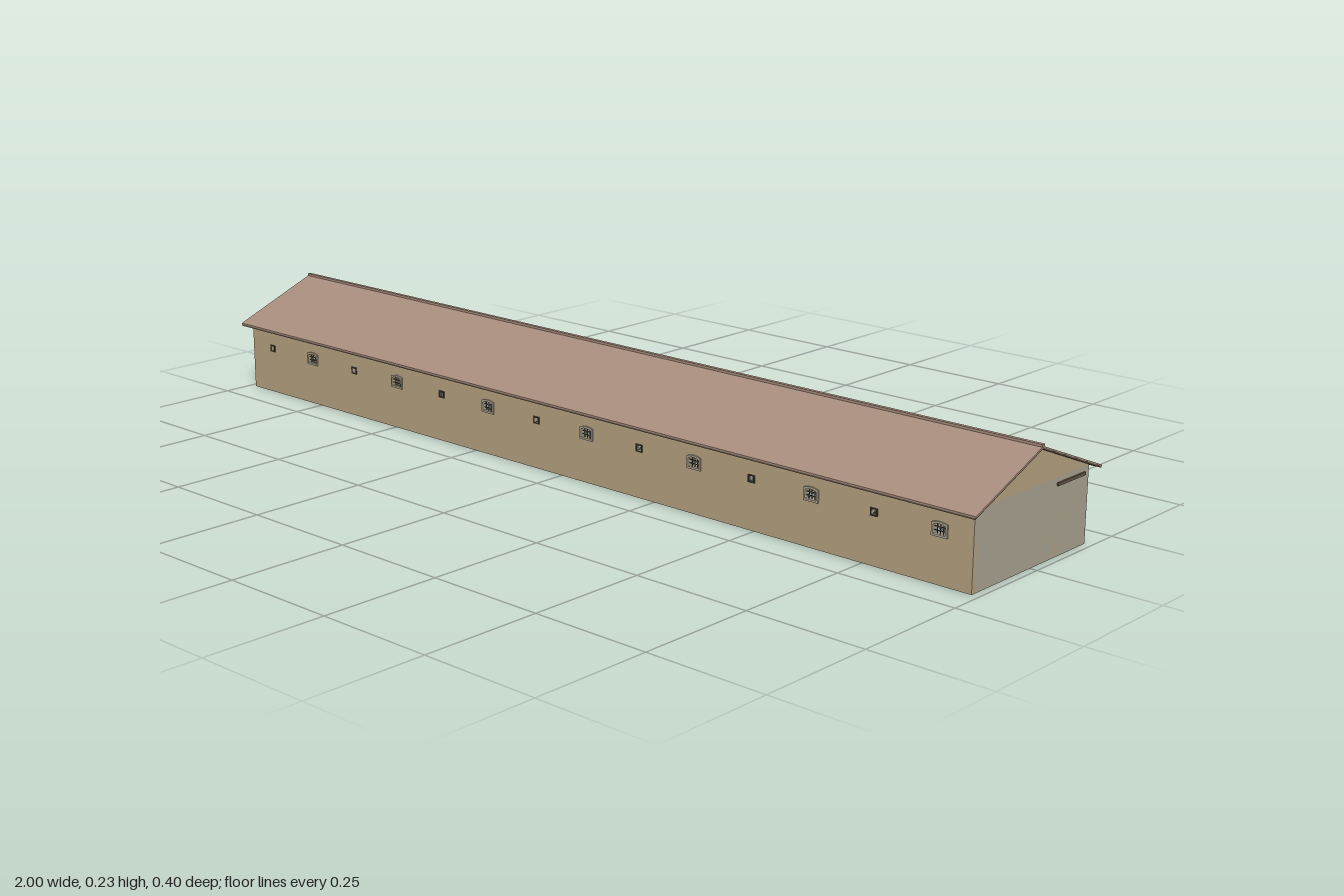
import * as THREE from 'three';

const BAYS = 14, HALF = 0.985, DEPTH = 0.18, BAY = (2 * HALF) / BAYS;
const EAVE = 0.15, RIDGE = 0.23, OVER = 0.2, ROOF = 0.006;
const roofUnder = (z) => RIDGE - (RIDGE - EAVE) * Math.abs(z) / OVER - ROOF;
const bayX = (i) => -HALF + BAY * (i + 0.5);

const mat = (color) => new THREE.MeshStandardMaterial({ color, flatShading: true });
const plaster = mat(0xb8a482), stone = mat(0xaca594), tile = mat(0xa88d7d);
const wood = mat(0x66554a), iron = mat(0x4a4642);

function add(parent, name, geometry, material, x = 0, y = 0, z = 0) {
  const mesh = new THREE.Mesh(geometry, material);
  mesh.name = name;
  mesh.position.set(x, y, z);
  parent.add(mesh);
  return mesh;
}

const box = (w, h, d) => new THREE.BoxGeometry(w, h, d);
const extrude = (shape, depth) =>
  new THREE.ExtrudeGeometry(shape, { depth, bevelEnabled: false, curveSegments: 10 });

// Closed outline from corner pairs
function outline(points, Type = THREE.Shape) {
  return new Type(points.map(([x, y]) => new THREE.Vector2(x, y)));
}

function rect(x, y, w, h, Type = THREE.Path) {
  return outline([[x - w / 2, y], [x + w / 2, y], [x + w / 2, y + h], [x - w / 2, y + h]], Type);
}

// Opening with a shallow curved head
function archedRect(x, y, w, h, rise, Type = THREE.Path) {
  const p = new Type();
  p.moveTo(x - w / 2, y);
  p.lineTo(x + w / 2, y);
  p.lineTo(x + w / 2, y + h - rise);
  p.quadraticCurveTo(x, y + h + rise, x - w / 2, y + h - rise);
  p.closePath();
  return p;
}

// Long front wall with alternating small and large windows
function frontWall(group) {
  const wall = rect(0, 0, 2 * HALF, roofUnder(DEPTH), THREE.Shape);
  const windows = new THREE.Group();
  windows.name = 'frontWindows';
  for (let i = 0; i < BAYS; i++) {
    const x = bayX(i);
    if (i % 2) {
      wall.holes.push(archedRect(x, 0.093, 0.026, 0.02, 0.003));
      const frame = archedRect(x, 0.089, 0.034, 0.028, 0.003, THREE.Shape);
      frame.holes.push(archedRect(x, 0.093, 0.026, 0.02, 0.003));
      add(windows, 'windowFrame', extrude(frame, 0.016), stone, 0, 0, DEPTH - 0.013);
      for (const dx of [-0.0065, 0, 0.0065])
        add(windows, 'windowBar', box(0.0014, 0.022, 0.0014), iron, x + dx, 0.103, DEPTH - 0.002);
      for (const y of [0.099, 0.106])
        add(windows, 'windowBar', box(0.026, 0.0014, 0.0014), iron, x, y, DEPTH - 0.002);
    } else {
      wall.holes.push(rect(x, 0.096, 0.011, 0.011));
      const frame = rect(x, 0.094, 0.016, 0.015, THREE.Shape);
      frame.holes.push(rect(x, 0.096, 0.011, 0.011));
      add(windows, 'smallWindowFrame', extrude(frame, 0.015), iron, 0, 0, DEPTH - 0.013);
    }
  }
  add(group, 'frontWall', extrude(wall, 0.01), plaster, 0, 0, DEPTH - 0.01);
  group.add(windows);
}

// Wall behind the portico: a door and a small window in each bay
function innerWall(group, z) {
  const wall = outline([[-HALF, 0], [-HALF, roofUnder(z - 0.005)],
    [HALF, roofUnder(z - 0.005)], [HALF, 0]].reverse());
  // Doors are notches open at the ground, so build the lower outline bay by bay
  const pts = [[-HALF, 0]];
  for (let i = 0; i < BAYS; i++) {
    const x = bayX(i) + 0.015;
    pts.push([x - 0.018, 0], [x - 0.018, 0.095], [x + 0.018, 0.095], [x + 0.018, 0]);
  }
  pts.push([HALF, 0], [HALF, roofUnder(z - 0.005)], [-HALF, roofUnder(z - 0.005)]);
  wall.setFromPoints(pts.map(([x, y]) => new THREE.Vector2(x, y)));
  for (let i = 0; i < BAYS; i++) {
    const x = bayX(i) - 0.036;
    wall.holes.push(rect(x, 0.07, 0.014, 0.018));
    const frame = rect(x, 0.067, 0.019, 0.024, THREE.Shape);
    frame.holes.push(rect(x, 0.07, 0.014, 0.018));
    add(group, 'innerWindowFrame', extrude(frame, 0.013), wood, 0, 0, z - 0.0065);
  }
  add(group, 'innerWall', extrude(wall, 0.01), plaster, 0, 0, z - 0.005);
}

// Row of round arches along the back
function arcade(group) {
  const r = 0.052, spring = 0.08;
  const s = new THREE.Shape();
  s.moveTo(-HALF, 0);
  for (let i = 0; i < BAYS; i++) {
    const x = bayX(i);
    s.lineTo(x - r, 0);
    s.lineTo(x - r, spring);
    s.absarc(x, spring, r, Math.PI, 0, true);
    s.lineTo(x + r, 0);
  }
  s.lineTo(HALF, 0);
  s.lineTo(HALF, roofUnder(DEPTH));
  s.lineTo(-HALF, roofUnder(DEPTH));
  s.closePath();
  add(group, 'arcade', extrude(s, 0.02), stone, 0, 0, -DEPTH);
}

// End walls with their gables
function endWalls(group) {
  const top = roofUnder(DEPTH);
  const gable = outline([[-DEPTH, top], [DEPTH, top], [0, roofUnder(0)]]);
  for (const side of [-1, 1]) {
    const x = side * (HALF - 0.005);
    add(group, 'endWall', box(0.01, top, 2 * DEPTH), stone, x, top / 2, 0);
    const g = extrude(gable, 0.01).translate(0, 0, -0.005).rotateY(Math.PI / 2);
    add(group, 'gable', g, plaster, x, 0, 0);
  }
}

// Two tiled slopes over a dark timber lining, with ridge cap
function roof(group) {
  const layer = (top, bottom) => outline([[-OVER, EAVE - bottom], [0, RIDGE - bottom],
    [OVER, EAVE - bottom], [OVER, EAVE - top], [0, RIDGE - top], [-OVER, EAVE - top]]);
  const sweep = (s, len) => extrude(s, len).translate(0, 0, -len / 2).rotateY(Math.PI / 2);
  add(group, 'roofTiles', sweep(layer(0, 0.003), 2), tile);
  add(group, 'roofLining', sweep(layer(0.003, ROOF), 1.998), wood);
  add(group, 'ridgeCap', box(2, 0.005, 0.008), tile, 0, RIDGE + 0.001, 0);
}

export function createModel() {
  const group = new THREE.Group();
  group.name = 'arcadedHall';
  frontWall(group);
  innerWall(group, -0.075);
  arcade(group);
  endWalls(group);
  roof(group);
  // Tie beams from the inner wall to the arcade piers
  for (let i = 0; i <= BAYS; i++)
    add(group, 'tieBeam', box(0.007, 0.006, 0.09), wood, -HALF + BAY * i, 0.139, -0.12);
  return group;
}
